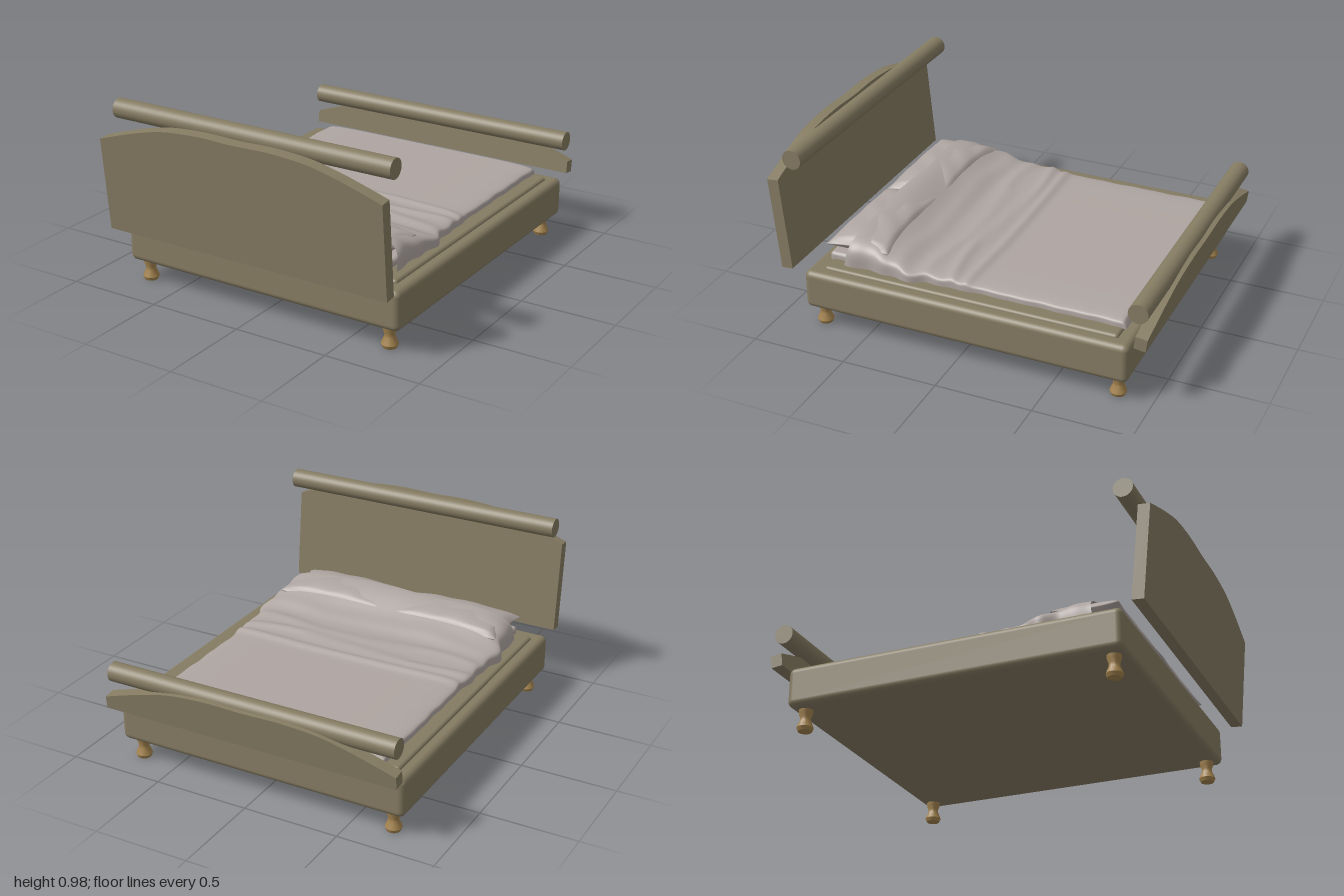
import * as THREE from 'three';
import { toCreasedNormals, mergeVertices } from 'three/addons/utils/BufferGeometryUtils.js';
import { RoundedBoxGeometry } from 'three/addons/geometries/RoundedBoxGeometry.js';

const { smoothstep } = THREE.MathUtils;
const material = (name, color, side = THREE.FrontSide) => {
  const m = new THREE.MeshStandardMaterial({ color, side });
  m.name = name;
  return m;
};

function addMesh(parent, name, geometry, mat, x = 0, y = 0, z = 0) {
  const mesh = new THREE.Mesh(geometry, mat);
  mesh.name = name;
  mesh.position.set(x, y, z);
  parent.add(mesh);
  return mesh;
}

// Rounded box given by its lower and upper limits, centred on x
function slab(halfWidth, y0, y1, z0, z1, radius) {
  const g = new RoundedBoxGeometry(halfWidth * 2, y1 - y0, z1 - z0, 4, radius);
  return g.translate(0, (y0 + y1) / 2, (z0 + z1) / 2);
}

// Upright panel with an arched top edge
function archedPanel(sideHeight, peakHeight) {
  const w = 0.795;
  const half = [[0.795, 0], [0.68, 0.3], [0.55, 0.61], [0.4, 0.88], [0.2, 1]];
  const at = (x, t) => new THREE.Vector2(x, THREE.MathUtils.lerp(sideHeight, peakHeight, t));
  const arch = [
    ...half.map(([x, t]) => at(x, t)),
    at(0, 0.97),
    ...half.slice().reverse().map(([x, t]) => at(-x, t)),
  ];
  const shape = new THREE.Shape();
  shape.moveTo(-w, 0);
  shape.lineTo(w, 0);
  shape.lineTo(w, sideHeight);
  shape.splineThru(arch.slice(1));
  shape.lineTo(-w, 0);
  const g = new THREE.ExtrudeGeometry(shape, { depth: 0.06, bevelEnabled: false, curveSegments: 5 });
  return toCreasedNormals(g, 0.5);
}

// Blanket: flat arch sections swept along the bed, rising over the pillows
function blanketGeometry() {
  const g = new THREE.PlaneGeometry(1, 1, 72, 130);
  const p = g.attributes.position;
  const uv = g.attributes.uv;
  const ridge = (d, width) => Math.exp(-((d / width) ** 2));
  for (let i = 0; i < p.count; i++) {
    const a = Math.PI * (1 - uv.getX(i));
    const z = -0.83 + 1.45 * (1 - uv.getY(i));
    const hump = smoothstep(z, 0.27, 0.61);
    const loose = smoothstep(z, -0.1, 0.25);
    // Section: steep rounded sides, softer over the pillows
    const power = 2 / (7 - 3 * hump);
    const c = Math.cos(a);
    const side = Math.sign(c) * Math.abs(c) ** power;
    const lift = Math.max(Math.sin(a), 0) ** power;
    const wave = 0.006 * Math.sin(z * 23 + c) + 0.006 * Math.sin(z * 41 + 2 * c);
    const width = 0.65 + 0.015 * loose + 0.02 * ridge(z - 0.38, 0.12) + wave * (0.3 + loose);
    const x = side * width;
    // Height: foot end rolls down, folds cross the middle
    const s = Math.min((z + 0.83) / 0.035, 1);
    let h = 0.048 + 0.012 * loose + 0.113 * hump;
    h += 0.014 * ridge(z + 0.02 - 0.05 * x * x, 0.025);
    h += 0.014 * ridge(z - 0.08 - 0.03 * Math.sin(x * 5), 0.03);
    h += 0.010 * ridge(z - 0.19 + 0.03 * Math.sin(x * 6 + 1), 0.035);
    h += 0.012 * ridge(z - 0.34 + 0.02 * Math.sin(x * 8), 0.05);
    h += hump * 0.007 * Math.sin(x * 9 + 1) * Math.sin(z * 14);
    h *= (1 - (1 - s) ** 3) ** 0.4;
    const y = 0.328 + h * lift;
    const hem = smoothstep(z, 0.5, 0.62) * (0.035 * (1 - lift) + 0.006 * Math.sin(x * 10));
    p.setXYZ(i, x, y, z + hem);
  }
  g.computeVertexNormals();
  return g;
}

// Pillow: two puffed faces meeting in a seam, with drawn-out corners
function pillowGeometry() {
  let g = new THREE.BoxGeometry(2, 2, 2, 28, 1, 20);
  g.deleteAttribute('normal');
  g.deleteAttribute('uv');
  const p = g.attributes.position;
  for (let i = 0; i < p.count; i++) {
    const u = p.getX(i);
    const v = p.getZ(i);
    const inU = 1 - u * u;
    const inV = 1 - v * v;
    const puff = (inU * inV) ** 0.42 * (1 + 0.05 * Math.sin(u * 9 + v * 4));
    p.setXYZ(i,
      u * 0.322 * (1 - 0.07 * inV),
      Math.sign(p.getY(i)) * (0.066 * puff + 0.003),
      v * 0.17 * (1 - 0.07 * inU));
  }
  g = mergeVertices(g);
  g.computeVertexNormals();
  return g;
}

export function createModel() {
  const bed = new THREE.Group();
  bed.name = 'bed';
  const upholstery = material('olive upholstery', 0x857b62);
  const linen = material('grey linen', 0xaea5a1, THREE.DoubleSide);
  const wood = material('turned wood', 0xa3834f);

  // Frame and the raised platform on it
  addMesh(bed, 'base', slab(0.785, 0.11, 0.316, -0.887, 0.83, 0.032), upholstery);
  addMesh(bed, 'platform', slab(0.726, 0.27, 0.332, -0.815, 0.745, 0.018), upholstery);

  // Tilted end panels
  const headboard = addMesh(bed, 'headboard', archedPanel(0.485, 0.612), upholstery, 0, 0.325, 0.883);
  headboard.rotation.x = 0.095;
  const footboard = addMesh(bed, 'footboard', archedPanel(0.065, 0.193), upholstery, 0, 0.326, -0.976);
  footboard.rotation.x = -0.125;

  // Round bolsters
  const rail = new THREE.CylinderGeometry(0.05, 0.05, 1.56, 32).rotateZ(Math.PI / 2);
  addMesh(bed, 'headRail', rail, upholstery, 0, 0.925, 0.854);
  addMesh(bed, 'footRail', rail, upholstery, 0, 0.509, -0.928);

  // Turned legs
  const profile = [[0, 0], [0.034, 0], [0.042, 0.018], [0.038, 0.03], [0.027, 0.055],
    [0.026, 0.07], [0.034, 0.092], [0.036, 0.115]].map(([r, y]) => new THREE.Vector2(r, y));
  const leg = toCreasedNormals(new THREE.LatheGeometry(profile, 20), 0.6);
  for (const x of [-0.705, 0.705]) {
    for (const z of [-0.82, 0.763]) addMesh(bed, 'leg', leg, wood, x, 0, z);
  }

  // Bedding
  addMesh(bed, 'mattress', slab(0.635, 0.31, 0.366, -0.81, 0.762, 0.02), linen);
  addMesh(bed, 'blanket', blanketGeometry(), linen);
  const pillow = pillowGeometry();
  for (const side of [-1, 1]) {
    const mesh = addMesh(bed, 'pillow', pillow, linen, side * 0.322, 0.421, 0.6);
    mesh.rotation.x = 0.04;
  }
  return bed;
}
